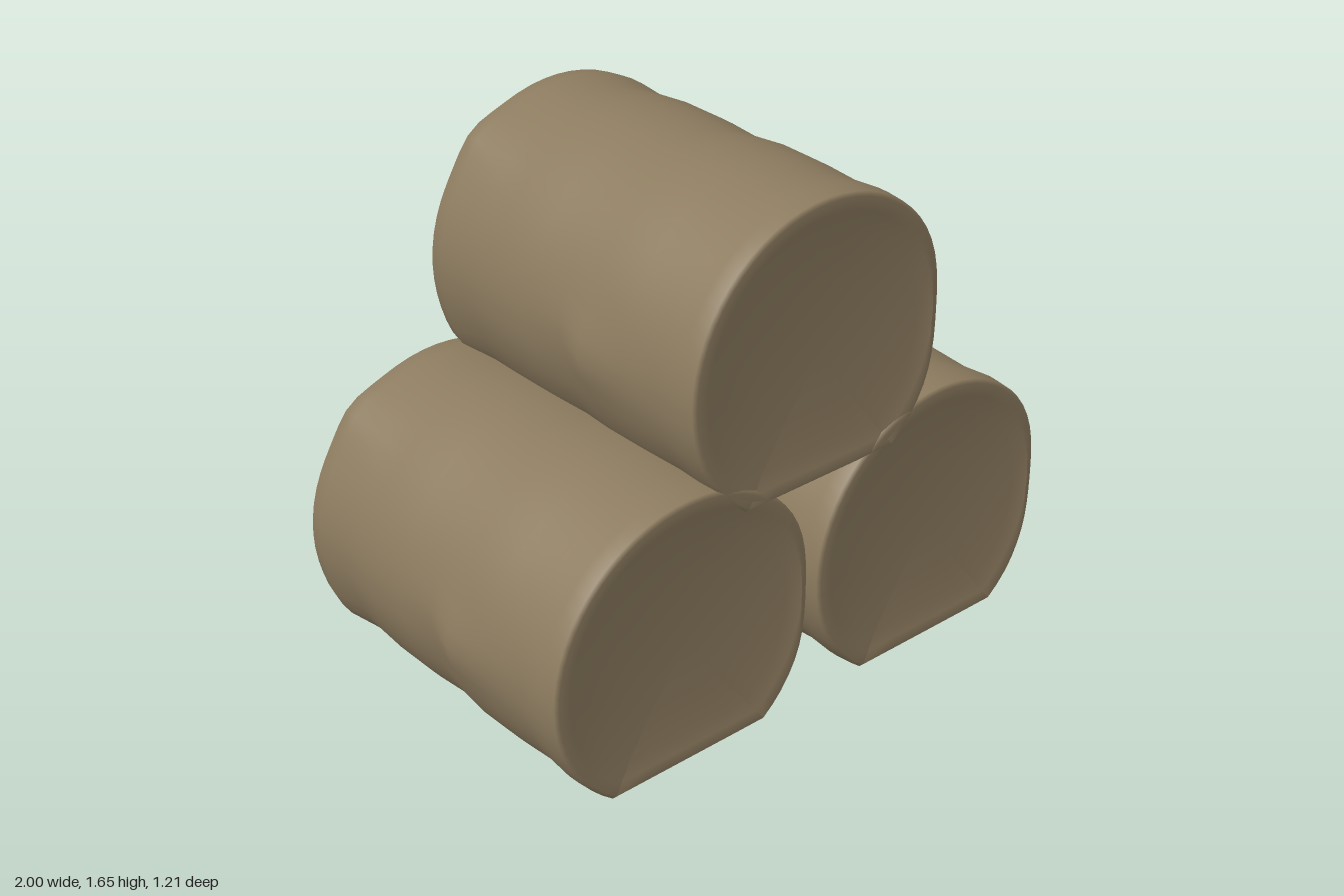
import * as THREE from 'three';

const R = 0.49;      // bale radius
const FLAT = 0.395;  // distance from the axis down to the flat underside

// Rings from the front pole to the back pole: [z, scale]
const RINGS = [
  [0.575, 0], [0.578, 0.45], [0.588, 0.76], [0.598, 0.88], [0.605, 0.965], [0.595, 0.99], [0.54, 1],
  [0.44, 0.985], [0.3, 1.003], [0.15, 1.008], [0.02, 0.985], [-0.12, 1.005], [-0.28, 1.008],
  [-0.42, 0.985], [-0.54, 1.008], [-0.595, 0.995], [-0.605, 0.965], [-0.598, 0.88],
  [-0.588, 0.76], [-0.578, 0.45], [-0.575, 0],
];

// Soft lumps in the straw: [angle, z, height, angular width, length]
const LUMPS = [
  [3.14, 0.15, 0.03, 0.2, 0.07],
  [2.27, -0.56, 0.022, 0.18, 0.1],
  [0.38, -0.5, 0.014, 0.2, 0.12],
  [-0.1, -0.1, 0.014, 0.3, 0.2],
  [0, 0.62, -0.055, 0.45, 0.04],
  [3.7, -0.52, 0.012, 0.2, 0.1],
];

// Round outline with a flat underside; the two corners are doubled to stay crisp
function outline() {
  const corner = Math.asin(FLAT / R), points = [];
  const arcSteps = 48, flatSteps = 6;
  for (let i = 0; i <= arcSteps; i++) {
    const a = -corner + (Math.PI + 2 * corner) * i / arcSteps;
    points.push([R * Math.cos(a), R * Math.sin(a), a]);
  }
  const half = R * Math.cos(corner);
  for (let i = 0; i <= flatSteps; i++) {
    const x = -half + 2 * half * i / flatSteps;
    points.push([x, -FLAT, null]);
  }
  return { points, seam: arcSteps };
}

function baleGeometry() {
  const { points, seam } = outline();
  const n = points.length, pos = [], index = [];
  RINGS.forEach(([z, s], i) => {
    points.forEach(([x, y, angle]) => {
      let k = s;
      const a = angle ?? Math.atan2(y, x) + (x < 0 ? 2 * Math.PI : 0);
      if (s > 0.9) {
        for (const [la, lz, h, wa, wz] of LUMPS) {
          k += h / R * Math.exp(-(((a - la) / wa) ** 2) - ((z - lz) / wz) ** 2);
        }
      }
      pos.push(x * k, Math.max(y * k, -0.403), z);
    });
    if (i === RINGS.length - 1) return;
    for (let j = 0; j < n - 1; j++) {
      if (j === seam) continue;
      const p = i * n + j, q = p + n;
      if (s > 0) index.push(p, q, p + 1);
      if (RINGS[i + 1][1] > 0) index.push(p + 1, q, q + 1);
    }
  });
  const g = new THREE.BufferGeometry();
  g.setAttribute('position', new THREE.Float32BufferAttribute(pos, 3));
  g.setIndex(index);
  g.computeVertexNormals();
  // Even normals at the middle of each end
  const last = (RINGS.length - 1) * n;
  for (let j = 0; j < n; j++) {
    g.attributes.normal.setXYZ(j, 0, 0, 1);
    g.attributes.normal.setXYZ(last + j, 0, 0, -1);
  }
  return g;
}

export function createModel() {
  const group = new THREE.Group();
  group.name = 'hayBaleStack';
  const straw = new THREE.MeshStandardMaterial({ color: 0x8c7b5f });
  straw.name = 'straw';
  const geometry = baleGeometry();

  // Two bales on the ground and one resting on top
  const bales = [
    ['rightBale', -0.48, 0.405],
    ['leftBale', 0.495, 0.405],
    ['topBale', 0.01, 1.16],
  ];
  for (const [name, x, y] of bales) {
    const bale = new THREE.Mesh(geometry, straw);
    bale.name = name;
    bale.position.set(x, y, 0);
    group.add(bale);
  }
  return group;
}
